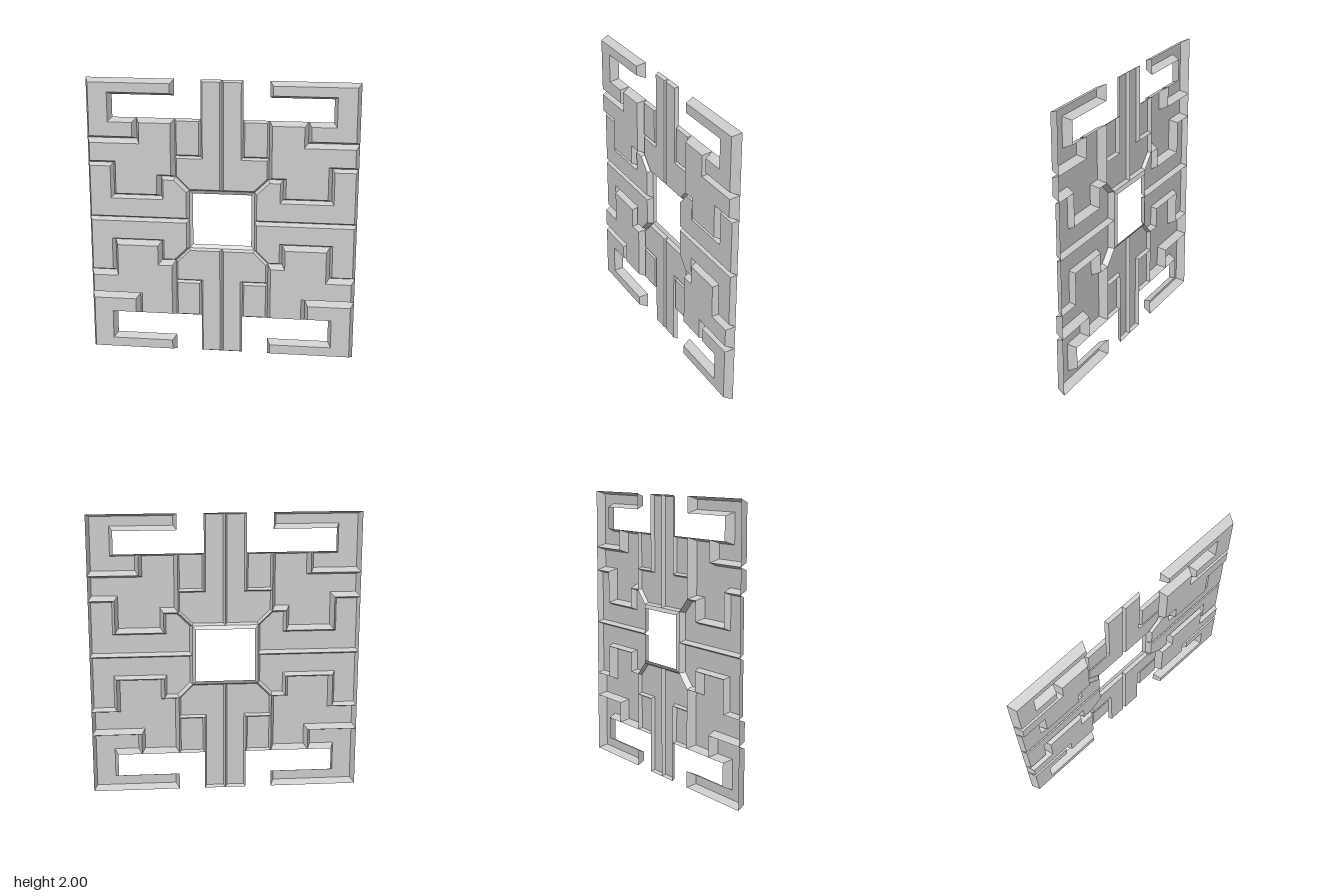
import * as THREE from 'three';
import { mergeGeometries } from 'three/addons/utils/BufferGeometryUtils.js';

const BACK = -0.024;      // plane where neighbouring tiles meet
const RING_BACK = -0.037; // rear rim of the centre opening
const material = new THREE.MeshStandardMaterial({ color: 0xcccccc, flatShading: true, side: THREE.DoubleSide });

// Base outlines of one quadrant's tiles, y measured from the panel's centre
const TILES = [
  { name: 'cornerHook', front: 0.037, inset: 0.024, outline: [[0.945, 1], [0.33, 1], [0.33, 0.885], [0.765, 0.885],
    [0.765, 0.725], [0.595, 0.725], [0.595, 0.576], [0.945, 0.576]] },
  { name: 'steppedTile', front: 0.037, inset: 0.024, outline: [[0.328, 0.725], [0.595, 0.725], [0.595, 0.576],
    [0.945, 0.576], [0.945, 0.4], [0.765, 0.4], [0.765, 0.167], [0.428, 0.167], [0.428, 0.31], [0.328, 0.31]] },
  { name: 'sideArm', front: 0.016, inset: 0.018, outline: [[0.945, 0.4], [0.765, 0.4], [0.765, 0.167], [0.428, 0.167],
    [0.428, 0.31], [0.328, 0.31], [0.23, 0.213], [0.23, 0], [0.945, 0]] },
  { name: 'centreArm', front: 0.001, inset: 0.013, outline: [[0, 0.213], [0.23, 0.213], [0.328, 0.31], [0.328, 0.46],
    [0.147, 0.46], [0.147, 1], [0, 1]] },
  { name: 'smallTile', front: 0.001, inset: 0.013, outline: [[0.147, 0.46], [0.328, 0.46], [0.328, 0.725], [0.147, 0.725]] },
];

// Move every edge of a counter-clockwise outline inwards by d
function insetOutline(pts, d) {
  return pts.map((p, i) => {
    const n = pts.length;
    const a = p.clone().sub(pts[(i + n - 1) % n]).normalize();
    const b = pts[(i + 1) % n].clone().sub(p).normalize();
    const na = new THREE.Vector2(-a.y, a.x), nb = new THREE.Vector2(-b.y, b.x);
    return na.clone().add(nb).multiplyScalar(d / (1 + na.dot(nb))).add(p);
  });
}

// Sloping walls between two matching outlines at different depths
function walls(outer, zOuter, inner, zInner) {
  const pos = [];
  outer.forEach((p, i) => {
    const j = (i + 1) % outer.length;
    const a = [p.x, p.y, zOuter], b = [outer[j].x, outer[j].y, zOuter];
    const c = [inner[j].x, inner[j].y, zInner], d = [inner[i].x, inner[i].y, zInner];
    pos.push(...a, ...b, ...c, ...a, ...c, ...d);
  });
  const geometry = new THREE.BufferGeometry();
  geometry.setAttribute('position', new THREE.Float32BufferAttribute(pos, 3));
  geometry.computeVertexNormals();
  return geometry;
}

// Open-backed tile: flat front face and bevelled sides
function tileGeometry(outline, front, inset, sx, sy) {
  let base = outline.map(([x, y]) => new THREE.Vector2(x * sx, y * sy));
  if (THREE.ShapeUtils.area(base) < 0) base = base.reverse();
  const top = insetOutline(base, inset);
  const face = new THREE.ShapeGeometry(new THREE.Shape(top)).toNonIndexed();
  face.deleteAttribute('uv');
  face.translate(0, 0, front);
  return mergeGeometries([face, walls(base, BACK, top, front)]);
}

function rectangle(w, h) {
  return [[-w, -h], [w, -h], [w, h], [-w, h]].map(([x, y]) => new THREE.Vector2(x, y));
}

export function createModel() {
  const model = new THREE.Group();
  model.name = 'latticePanel';

  // The same tiles mirrored into all four quadrants
  for (const sx of [1, -1]) {
    for (const sy of [1, -1]) {
      const quadrant = new THREE.Group();
      quadrant.name = (sy > 0 ? 'upper' : 'lower') + (sx > 0 ? 'Left' : 'Right') + 'Quadrant';
      for (const { name, front, inset, outline } of TILES) {
        const mesh = new THREE.Mesh(tileGeometry(outline, front, inset, sx, sy), material);
        mesh.name = name;
        quadrant.add(mesh);
      }
      quadrant.position.y = 1;
      model.add(quadrant);
    }
  }

  // Sloping rim around the centre opening
  const rim = new THREE.Mesh(
    walls(rectangle(0.23, 0.213), BACK, rectangle(0.207, 0.187), RING_BACK), material);
  rim.name = 'openingRim';
  rim.position.y = 1;
  model.add(rim);
  return model;
}
